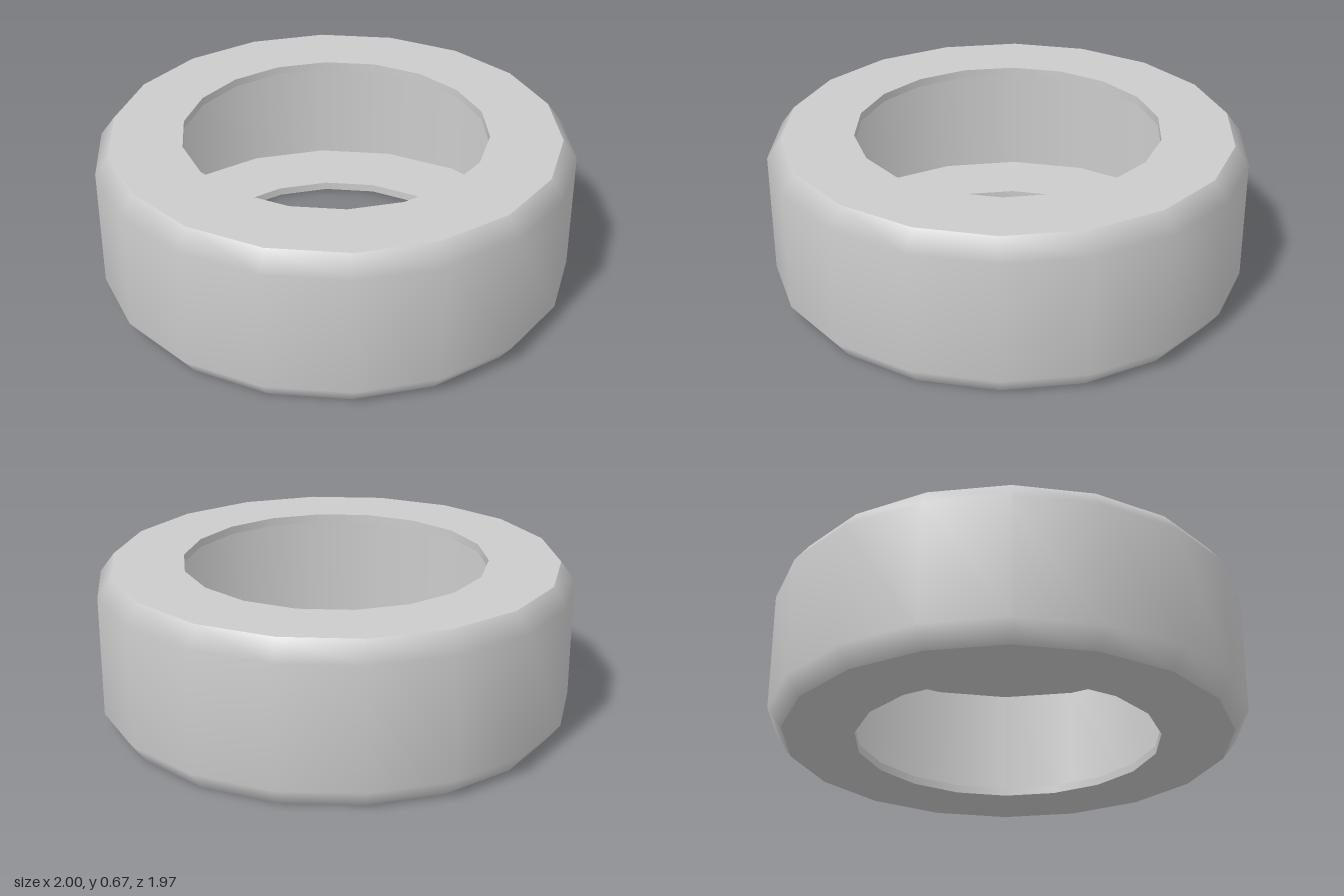
import * as THREE from 'three';

const SIDES = 18;
const HEIGHT = 0.67;   // overall height
const WALL = 0.035;    // sidewall thickness
const R_TREAD = 1;     // widest radius
const R_EDGE = 0.94;   // radius where the bevel meets the sidewall
const R_HOLE = 0.64;   // centre opening
const R_LINER = 0.957; // hollow inside
const BEVEL = 0.08;

export function createModel() {
  const tire = new THREE.Group();
  tire.name = 'tire';
  const material = new THREE.MeshStandardMaterial({ color: 0xcccccc });

  // Each band is its own lathe, so edges between bands stay sharp.
  const band = (name, points) => {
    const profile = points.map(([r, y]) => new THREE.Vector2(r, y));
    const mesh = new THREE.Mesh(
      new THREE.LatheGeometry(profile, SIDES, Math.PI / 2), material);
    mesh.name = name;
    tire.add(mesh);
  };

  const top = HEIGHT, ceiling = HEIGHT - WALL;

  // Outer tread with smoothly shaded bevels
  band('tread', [[R_EDGE, 0], [R_TREAD, BEVEL], [R_TREAD, top - BEVEL], [R_EDGE, top]]);

  // Upper sidewall: face, rim of the opening, underside
  band('upperSidewall', [[R_EDGE, top], [R_HOLE, top]]);
  band('upperRim', [[R_HOLE, top], [R_HOLE, ceiling]]);
  band('upperUnderside', [[R_HOLE, ceiling], [R_LINER, ceiling]]);

  // Hollow interior wall
  band('innerLiner', [[R_LINER, ceiling], [R_LINER, WALL]]);

  // Lower sidewall
  band('lowerInside', [[R_LINER, WALL], [R_HOLE, WALL]]);
  band('lowerRim', [[R_HOLE, WALL], [R_HOLE, 0]]);
  band('lowerSidewall', [[R_HOLE, 0], [R_EDGE, 0]]);

  return tire;
}
